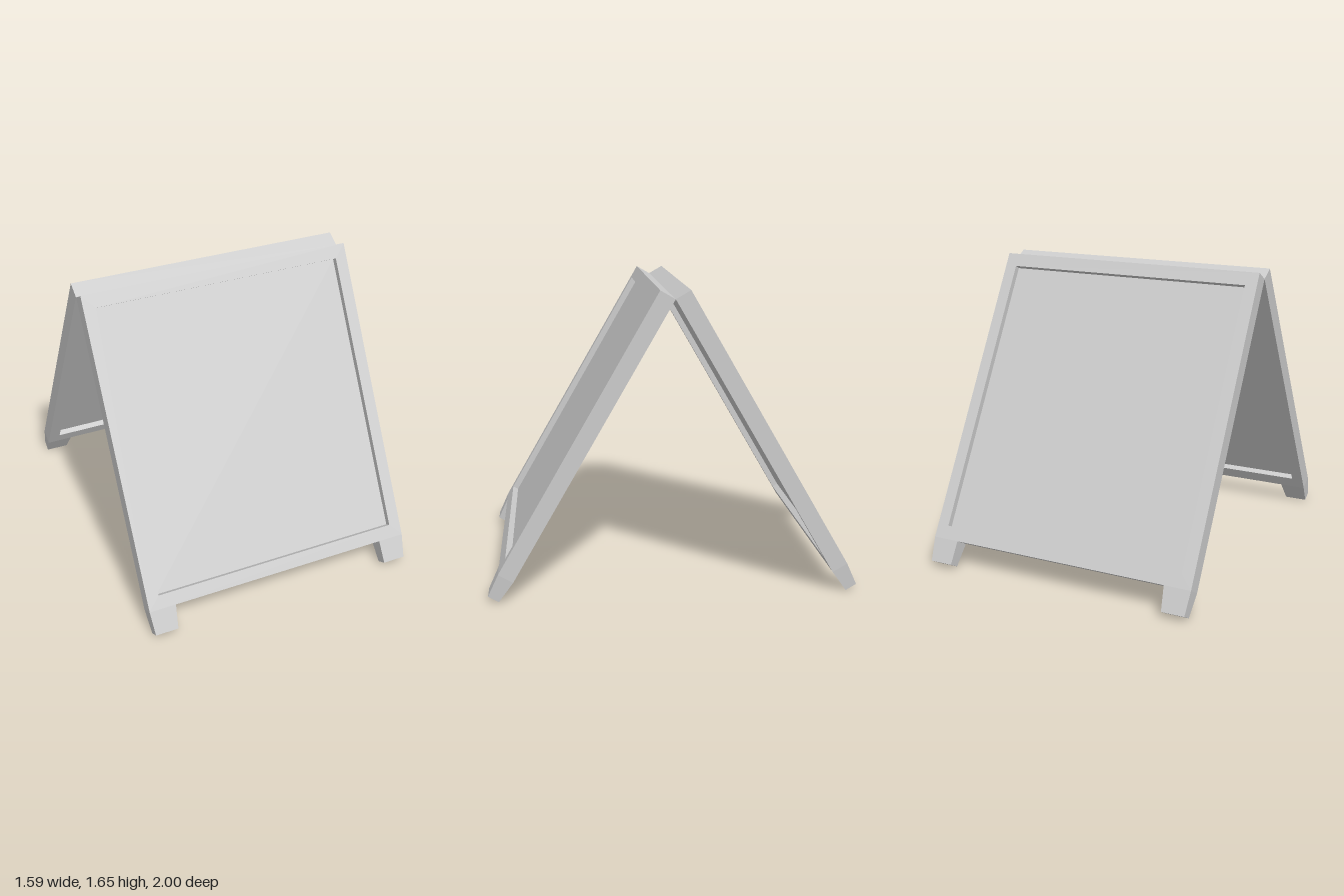
import * as THREE from 'three';

const LEAN = Math.PI / 6;     // tilt of each panel
const T = 0.092;              // frame thickness
const W = 0.793;              // half width
const H = 1.73;               // frame length along the slope
const RIM = 0.073;            // rim of the frame
const LEG = 0.135;            // leg length
const HINGE_Y = 1.608;

const material = new THREE.MeshStandardMaterial({ color: 0xcccccc, flatShading: true });

function named(geometry, name) {
  const mesh = new THREE.Mesh(geometry, material);
  mesh.name = name;
  return mesh;
}

function rectangle(path, x, top, bottom) {
  path.moveTo(-x, bottom);
  path.lineTo(x, bottom);
  path.lineTo(x, top);
  path.lineTo(-x, top);
  path.closePath();
  return path;
}

// Foot that narrows towards the ground in width and thickness
function legGeometry() {
  const inner = 0.64, width = W - inner;
  const geo = new THREE.BoxGeometry(width, LEG, T);
  const pos = geo.attributes.position;
  for (let i = 0; i < pos.count; i++) {
    if (pos.getY(i) < 0) {
      pos.setX(i, pos.getX(i) - Math.sign(pos.getX(i)) * 0.011);
      pos.setZ(i, pos.getZ(i) - Math.sign(pos.getZ(i)) * 0.013);
    }
  }
  geo.translate(inner + width / 2, -H - LEG / 2, T / 2);
  geo.computeVertexNormals();
  return geo;
}

// One leaning panel, hung from the top edge with its inner face at z = 0
function createPanel(side) {
  const panel = new THREE.Group();
  panel.name = side + 'Panel';

  const outline = rectangle(new THREE.Shape(), W, 0, -H);
  outline.holes.push(rectangle(new THREE.Path(), W - RIM + 0.005, -0.077, -1.655));
  panel.add(named(new THREE.ExtrudeGeometry(outline, { depth: T, bevelEnabled: false }), side + 'Frame'));

  // Thin board recessed on both faces
  const board = named(new THREE.BoxGeometry(2 * (W - RIM + 0.005), 1.655 - 0.077, T - 0.07), side + 'Board');
  board.position.set(0, -(1.655 + 0.077) / 2, T / 2);
  panel.add(board);

  const leg = legGeometry();
  panel.add(named(leg, side + 'LeftLeg'));
  panel.add(named(leg.clone().rotateY(Math.PI).translate(0, 0, T), side + 'RightLeg'));

  panel.rotation.x = -LEAN;
  panel.position.y = HINGE_Y;
  return panel;
}

export function createModel() {
  const model = new THREE.Group();
  model.name = 'sandwichBoard';
  model.add(createPanel('front'));

  // Second panel faces the other way
  const back = new THREE.Group();
  back.name = 'backHalf';
  back.rotation.y = Math.PI;
  back.add(createPanel('back'));
  model.add(back);
  return model;
}
